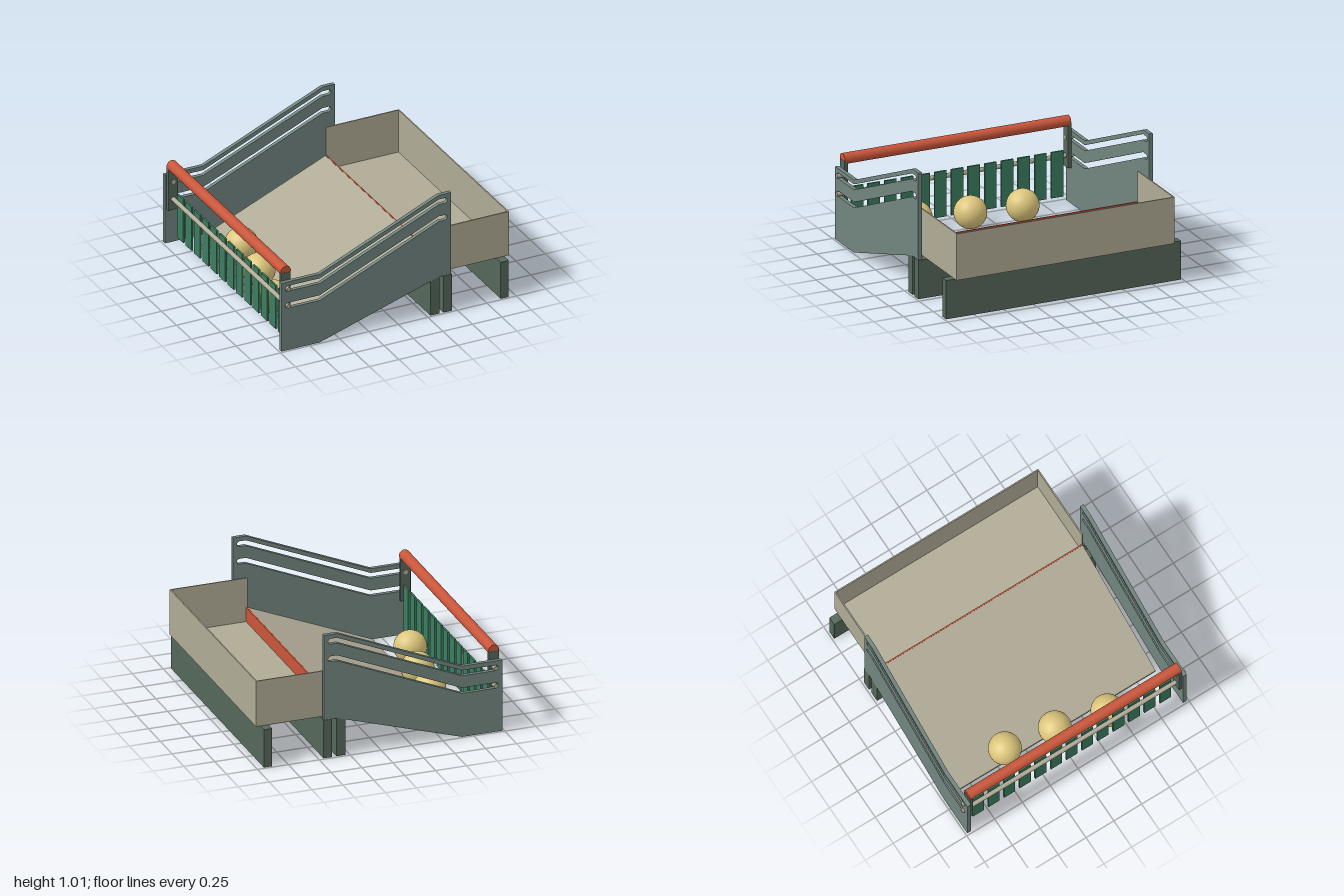
import * as THREE from 'three';

const mat = (name, color) => {
  const m = new THREE.MeshStandardMaterial({ color });
  m.name = name;
  return m;
};

export function createModel() {
  const model = new THREE.Group();
  model.name = 'ballRamp';

  const panelGrey = mat('panelGrey', 0x72857f);
  const boardBeige = mat('boardBeige', 0xb0ab96);
  const barRed = mat('barRed', 0xc8553a);
  const legGreen = mat('legGreen', 0x55675a);
  const slatGreen = mat('slatGreen', 0x3a7d5f);
  const ballYellow = mat('ballYellow', 0xdcc67c);

  const add = (name, geometry, material, x = 0, y = 0, z = 0) => {
    const mesh = new THREE.Mesh(geometry, material);
    mesh.name = name;
    mesh.position.set(x, y, z);
    model.add(mesh);
    return mesh;
  };
  // Box given by its limits on each axis
  const box = (name, material, x0, x1, y0, y1, z0, z1) =>
    add(name, new THREE.BoxGeometry(x1 - x0, y1 - y0, z1 - z0), material,
      (x0 + x1) / 2, (y0 + y1) / 2, (z0 + z1) / 2);
  // Round bar along z
  const rod = (name, material, r, length, x, y, z, sides) =>
    add(name, new THREE.CylinderGeometry(r, r, length, sides).rotateX(Math.PI / 2), material, x, y, z);
  const outline = (points) => new THREE.Shape(points.map(([x, y]) => new THREE.Vector2(x, y)));

  // Side panels, each with two bent guide slots
  const panel = outline([[-0.985, 0], [-0.66, 0], [0.35, 0.315], [0.455, 0.315],
    [0.455, 1.015], [0.35, 1.015], [-0.66, 0.585], [-0.985, 0.585]]);
  const r = 0.0225, rise = 0.43;
  for (const y of [0.36, 0.505]) {
    const slot = new THREE.Path();
    slot.moveTo(-0.93, y);
    slot.lineTo(-0.66, y);
    slot.lineTo(0.35, y + rise);
    slot.absarc(0.4, y + rise + r, r, -Math.PI / 2, Math.PI / 2, false);
    slot.lineTo(0.35, y + rise + 2 * r);
    slot.lineTo(-0.66, y + 2 * r);
    slot.absarc(-0.93, y + r, r, Math.PI / 2, Math.PI * 1.5, false);
    panel.holes.push(slot);
  }
  const panelGeometry = new THREE.ExtrudeGeometry(panel, { depth: 0.032, bevelEnabled: false, curveSegments: 8 });
  for (const z of [0.953, -0.985]) add('sidePanel', panelGeometry, panelGrey, 0, 0, z);

  // Sloping ramp board
  const ramp = outline([[-0.66, 0], [0.355, 0.425], [0.355, 0.445], [-0.66, 0.02]]);
  add('ramp', new THREE.ExtrudeGeometry(ramp, { depth: 1.83, bevelEnabled: false }), boardBeige, 0, 0, -0.915);

  // Tray behind the ramp, with a red step board
  box('trayFloor', boardBeige, 0.355, 0.98, 0.315, 0.33, -0.915, 0.915);
  box('trayEndWall', boardBeige, 0.97, 0.98, 0.33, 0.69, -0.915, 0.915);
  for (const s of [-1, 1]) {
    box('traySideWall', boardBeige, 0.355, 0.97, 0.33, 0.69, s * 0.91 - 0.005, s * 0.91 + 0.005);
  }
  box('stepBoard', barRed, 0.355, 0.366, 0.33, 0.447, -0.905, 0.905);

  // Upright boards carrying the ramp and tray
  for (const [x0, x1, half] of [[0.28, 0.355, 0.983], [0.39, 0.46, 0.985], [0.875, 0.942, 0.985]]) {
    box('supportBoard', legGreen, x0, x1, 0, 0.313, -half, half);
  }

  // Sliding gate: red handle, hangers, guide pins, rod and slats
  rod('handleBar', barRed, 0.043, 1.9, -0.93, 0.66, 0, 32);
  for (const s of [-1, 1]) {
    box('hanger', legGreen, -0.972, -0.89, 0.29, 0.65, s * 0.938 - 0.014, s * 0.938 + 0.014);
    rod('guidePin', boardBeige, 0.018, 0.08, -0.93, 0.528, s * 0.96, 16);
  }
  rod('slatRod', boardBeige, 0.018, 2, -0.93, 0.382, 0, 16);
  for (let i = -6; i <= 6; i++) {
    box('slat', slatGreen, -0.915, -0.9, 0.065, 0.435, i * 0.14 - 0.05, i * 0.14 + 0.05);
  }

  // Balls at the foot of the ramp
  const ball = new THREE.SphereGeometry(0.128, 32, 20);
  for (const [x, y, z] of [[-0.615, 0.17, -0.41], [-0.675, 0.16, 0], [-0.772, 0.15, 0.41]]) {
    add('ball', ball, ballYellow, x, y, z);
  }
  return model;
}
